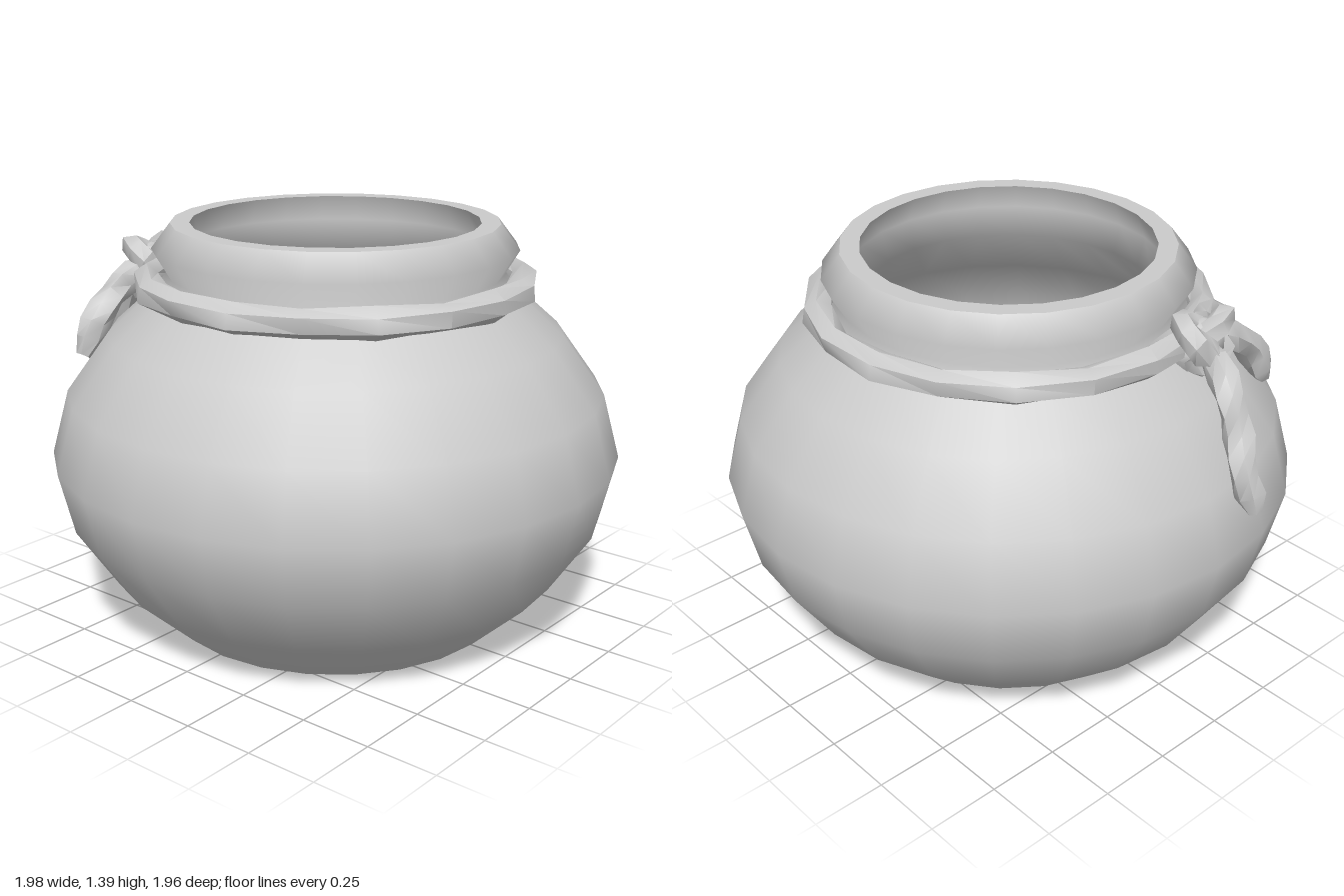
import * as THREE from 'three';
import { mergeVertices, toCreasedNormals } from 'three/addons/utils/BufferGeometryUtils.js';

const material = new THREE.MeshStandardMaterial({ color: 0xcccccc });
const CX = 0.017; // axis of the pot
const v = (p) => new THREE.Vector3(...p);

function add(parent, name, geometry) {
  const mesh = new THREE.Mesh(geometry, material);
  mesh.name = name;
  parent.add(mesh);
  return mesh;
}

function lathe(parent, name, profile) {
  const points = profile.map(([r, y]) => new THREE.Vector2(r, y));
  add(parent, name, new THREE.LatheGeometry(points, 24)).position.x = CX;
}

// Low-poly cord: a tube whose slightly flattened section turns along its path
function cord(parent, name, curve, steps, radius, halfTurns, closed = false) {
  const sides = 6;
  let geo = new THREE.TubeGeometry(curve, steps, radius, sides, closed);
  const pos = geo.attributes.position;
  const p = new THREE.Vector3();
  for (let i = 0; i <= steps; i++) {
    const centre = curve.getPointAt(i / steps);
    const end = !closed && (i === 0 || i === steps);
    for (let j = 0; j <= sides; j++) {
      const k = i * (sides + 1) + j;
      const angle = (j / sides) * Math.PI * 2 - (i / steps) * halfTurns * Math.PI;
      const scale = end ? 0.5 : 1 + 0.14 * Math.cos(2 * angle);
      p.fromBufferAttribute(pos, k).sub(centre).multiplyScalar(scale).add(centre);
      pos.setXYZ(k, p.x, p.y, p.z);
    }
  }
  // Close the open ends with a fan from the last ring
  if (!closed) {
    const index = Array.from(geo.index.array);
    const last = steps * (sides + 1);
    for (let j = 1; j < sides - 1; j++) {
      index.push(0, j + 1, j, last, last + j, last + j + 1);
    }
    geo.setIndex(index);
  }
  geo.deleteAttribute('uv');
  geo.deleteAttribute('normal');
  geo = mergeVertices(geo, 1e-4);
  return add(parent, name, toCreasedNormals(geo, 0.85));
}

export function createModel() {
  const model = new THREE.Group();
  model.name = 'ropeTiedPot';

  // Pot: base, outer wall, flat rim and hollow inside
  const pot = new THREE.Group();
  pot.name = 'pot';
  model.add(pot);
  lathe(pot, 'base', [[0, 0], [0.595, 0]]);
  lathe(pot, 'outerWall', [
    [0.595, 0], [0.79, 0.18], [0.93, 0.39], [0.98, 0.6], [0.92, 0.82],
    [0.775, 1.02], [0.64, 1.14], [0.57, 1.22], [0.62, 1.305], [0.555, 1.39],
  ]);
  lathe(pot, 'rim', [[0.555, 1.39], [0.49, 1.39]]);
  lathe(pot, 'innerWall', [
    [0.49, 1.39], [0.525, 1.3], [0.5, 1.2], [0.7, 0.99], [0.84, 0.81], [0.9, 0.6],
    [0.85, 0.41], [0.73, 0.23], [0.56, 0.08], [0, 0.08],
  ]);

  // Twisted rope around the neck
  const ring = [];
  for (let i = 0; i < 16; i++) {
    const a = (i / 16) * Math.PI * 2;
    ring.push(new THREE.Vector3(CX + 0.64 * Math.cos(a), 1.188, 0.64 * Math.sin(a)));
  }
  cord(model, 'neckRope', new THREE.CatmullRomCurve3(ring, true), 18, 0.05, 8, true);

  // Knot: an interlaced loop facing outwards around a small core
  const knot = new THREE.Group();
  knot.name = 'knot';
  knot.position.set(-0.635, 1.195, 0.23);
  knot.rotation.y = -1.2;
  model.add(knot);
  const loop = [];
  for (let i = 0; i < 18; i++) {
    const t = (i / 18) * Math.PI * 2;
    loop.push(new THREE.Vector3(
      0.037 * (Math.sin(t) + 2 * Math.sin(2 * t)),
      0.03 * (Math.cos(t) - 2 * Math.cos(2 * t)),
      -0.05 * Math.sin(3 * t),
    ));
  }
  cord(knot, 'knotLoop', new THREE.CatmullRomCurve3(loop, true), 22, 0.045, 4, true);
  add(knot, 'knotCore', new THREE.SphereGeometry(0.075, 7, 5));

  // Two loose ends hanging over the shoulder of the pot
  const longEnd = [
    [-0.66, 1.2, 0.21], [-0.75, 1.13, 0.2], [-0.84, 1.0, 0.18], [-0.91, 0.86, 0.15], [-0.955, 0.73, 0.165],
  ];
  const shortEnd = [
    [-0.6, 1.2, 0.29], [-0.61, 1.15, 0.4], [-0.615, 1.07, 0.5], [-0.62, 0.93, 0.585],
  ];
  cord(model, 'longRopeEnd', new THREE.CatmullRomCurve3(longEnd.map(v)), 9, 0.048, 3);
  cord(model, 'shortRopeEnd', new THREE.CatmullRomCurve3(shortEnd.map(v)), 7, 0.05, 2);

  return model;
}
